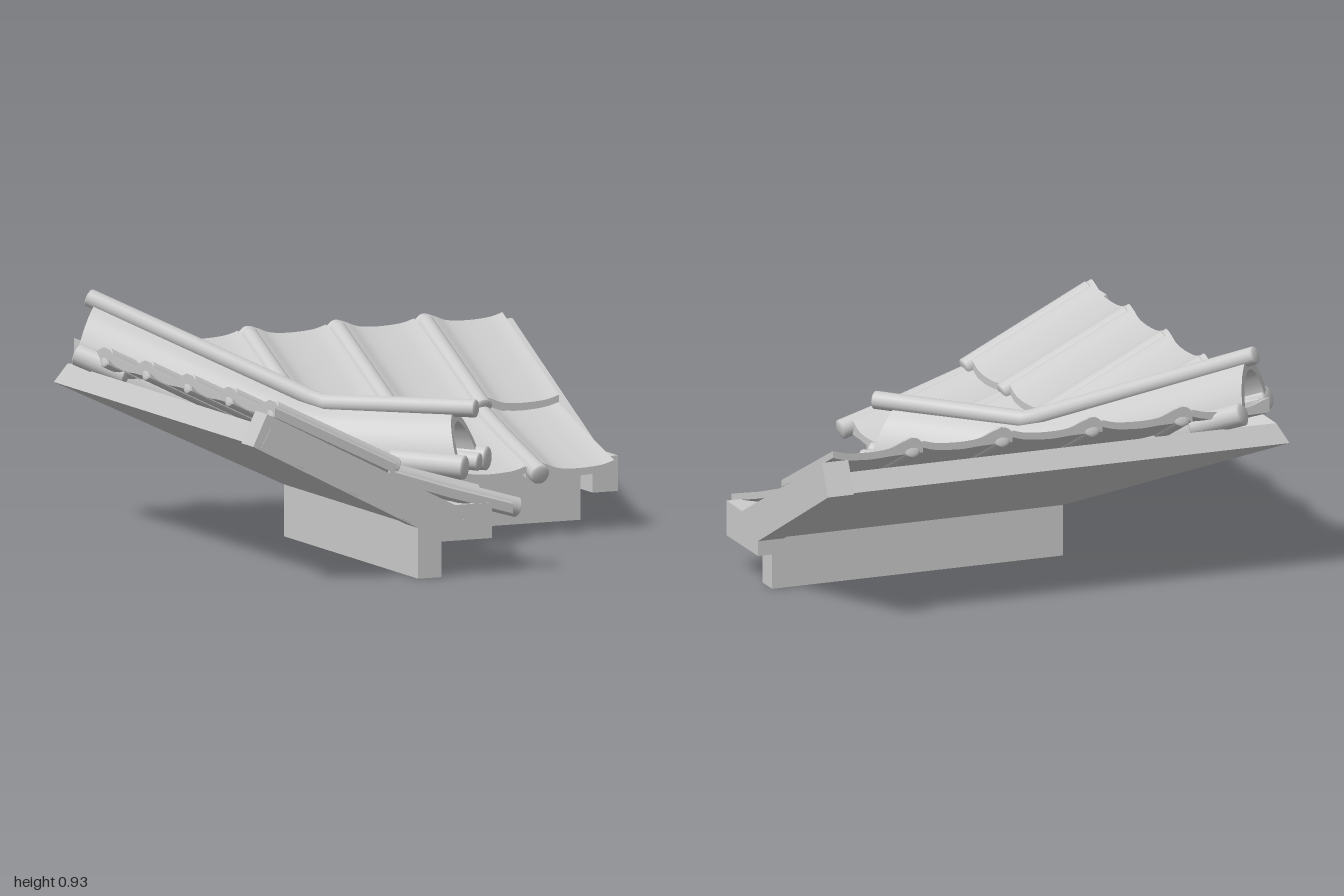
import * as THREE from 'three';
import { toCreasedNormals } from 'three/addons/utils/BufferGeometryUtils.js';

const material = new THREE.MeshStandardMaterial({ color: 0xcccccc, side: THREE.DoubleSide });
const V2 = (x, y) => new THREE.Vector2(x, y);
const V3 = (x, y, z) => new THREE.Vector3(x, y, z);
const outline = pts => new THREE.Shape(pts.map(a => V2(...a)));

// The two roof wings. p runs down the slope, u along the eave;
// dir is the way a tile runs away from its roll, miter the inner corner line.
const wings = [
  { name: 'back', at: (p, y, u) => [u, y, p + 0.03], miter: p => p,
    wallEnd: 0.94, board: [0.89, 1.0], first: 0.56, dir: 1 },
  { name: 'side', at: (p, y, u) => [p, y, u], miter: p => p + 0.03,
    wallEnd: 0.97, board: [0.86, 0.968], first: 0.965, dir: -1 },
];

// Piecewise linear height along a list of [p, y] points
function heightAt(pts, p) {
  let i = 0;
  while (i < pts.length - 2 && p > pts[i + 1][0]) i++;
  const [a, b] = [pts[i], pts[i + 1]];
  return a[1] + (b[1] - a[1]) * (p - a[0]) / (b[0] - a[0]);
}

// Extrudes a shape to depth 1, moves each vertex by a rule and keeps faces outward
function sweep(name, shape, steps, rule, crease = 0.6) {
  const geo = new THREE.ExtrudeGeometry(shape, { depth: 1, steps, bevelEnabled: false, curveSegments: 18 });
  const pos = geo.attributes.position;
  for (let i = 0; i < pos.count; i++) pos.setXYZ(i, ...rule(pos.getX(i), pos.getY(i), pos.getZ(i)));
  const corner = i => new THREE.Vector3().fromBufferAttribute(pos, i);
  let volume = 0;
  for (let i = 0; i < pos.count; i += 3) volume += corner(i).dot(corner(i + 1).cross(corner(i + 2)));
  if (volume < 0) {
    for (let i = 0; i < pos.count; i += 3) {
      const b = corner(i + 1), c = corner(i + 2);
      pos.setXYZ(i + 1, c.x, c.y, c.z);
      pos.setXYZ(i + 2, b.x, b.y, b.z);
    }
  }
  geo.deleteAttribute('uv');
  geo.deleteAttribute('normal');
  const mesh = new THREE.Mesh(toCreasedNormals(geo, crease), material);
  mesh.name = name;
  return mesh;
}

// Round bar through a list of points, closed at both ends
function pipe(name, points, radius) {
  const group = new THREE.Group();
  group.name = name;
  const path = new THREE.CurvePath();
  for (let i = 1; i < points.length; i++) path.add(new THREE.LineCurve3(points[i - 1], points[i]));
  group.add(new THREE.Mesh(new THREE.TubeGeometry(path, 24, radius, 14, false), material));
  [points[0], points[points.length - 1]].forEach((end, i) => {
    const cap = new THREE.Mesh(new THREE.SphereGeometry(radius, 14, 8), material);
    const next = i ? points[points.length - 2] : points[1];
    cap.quaternion.setFromUnitVectors(V3(0, 0, 1), end.clone().sub(next).normalize());
    cap.scale.z = 0.3;
    cap.position.copy(end);
    group.add(cap);
  });
  return group;
}

// Tile cross-section: a roll on one side and a shallow pan
const tileWidth = 0.38;
function tileShape() {
  const s = new THREE.Shape();
  s.moveTo(0, -0.025);
  s.lineTo(0, 0.012);
  s.splineThru([V2(0.02, 0.032), V2(0.045, 0.038), V2(0.085, 0.026), V2(0.14, 0.006),
    V2(0.22, 0), V2(0.32, 0.006), V2(0.38, 0.022)]);
  s.lineTo(0.38, -0.006);
  s.splineThru([V2(0.32, -0.022), V2(0.22, -0.03), V2(0.13, -0.026), V2(0, -0.025)]);
  return s;
}

const rows = [
  { name: 'upper', from: -0.905, to: -0.385, nose: 0.015, line: [[-0.905, 0.7], [-0.385, 0.445]] },
  { name: 'lower', from: -0.41, to: 0.12, nose: 0.035, line: [[-0.41, 0.42], [-0.15, 0.335], [0.12, 0.256]] },
];

function buildWing(w) {
  const group = new THREE.Group();
  group.name = w.name + 'Wing';

  // Profiles swept from the mitred corner to the open end
  const mitred = (name, pts) => group.add(sweep(name, outline(pts), 1,
    (p, y, t) => w.at(p, y, t ? w.wallEnd : w.miter(p)), 0.2));
  mitred('wall', [[-0.29, 0], [-0.19, 0], [-0.19, 0.2], [-0.29, 0.2]]);
  mitred('eaveBeam', [[-0.29, 0.14], [-0.08, 0.14], [-0.08, 0.22], [-0.29, 0.22]]);
  mitred('roofDeck', [[-0.965, 0.56], [-0.29, 0.205], [-0.1, 0.2], [-0.1, 0.235], [-0.925, 0.635]]);

  // Gable board closing the open end
  const gable = [[-1, 0.565], [-0.29, 0.2], [-0.29, 0.14], [0.03, 0.14], [0.03, 0.28], [-0.13, 0.28], [-0.94, 0.69]];
  group.add(sweep('gableBoard', outline(gable), 1,
    (p, y, t) => w.at(p, y, w.board[t ? 1 : 0]), 0.2));

  // Two overlapping rows of tiles, cut along the miter
  for (const row of rows) {
    for (let k = 0; k < 5; k++) {
      // the back wing has one tile beyond its first, the side wing starts at its end
      const u0 = w.first - k * tileWidth;
      const uMax = w.dir > 0 ? u0 + tileWidth : u0;
      if (uMax <= w.miter(row.from) + 0.05) continue;
      group.add(sweep(row.name + 'Tile', tileShape(), 8, (c, h, t) => {
        const p = row.from + t * (row.to - row.from);
        return w.at(p, heightAt(row.line, p) + h, Math.max(u0 + w.dir * c, w.miter(p)));
      }));
      // Round roll along the edge, poking out below the tile
      const uRoll = u0 + w.dir * 0.043;
      const end = Math.min(row.to + row.nose, uRoll - w.miter(0));
      if (end < row.from + 0.05) continue;
      const stops = [row.from + 0.012, (row.from + end) / 2, end];
      group.add(pipe('tileRoll', stops.map(p =>
        V3(...w.at(p, heightAt(row.line, p) + 0.002, uRoll))), 0.04));
    }
  }
  return group;
}

// Ridge stack lying over the inner corner; s is the sideways offset
function buildRidge() {
  const group = new THREE.Group();
  group.name = 'ridge';
  const at = (p, y, s = 0) => [p + s * 0.707, y, p + 0.03 - s * 0.707];
  const bar = (name, pts, s, r) => group.add(pipe(name, pts.map(a => V3(...at(a[0], a[1], s))), r));

  // Hollow body with rounded sides, open underneath
  const shape = new THREE.Shape();
  shape.moveTo(-0.105, 0);
  shape.lineTo(-0.13, 0);
  shape.splineThru([V2(-0.128, 0.25), V2(-0.108, 0.55), V2(-0.075, 0.82), V2(-0.035, 1)]);
  shape.lineTo(0.035, 1);
  shape.splineThru([V2(0.075, 0.82), V2(0.108, 0.55), V2(0.128, 0.25), V2(0.13, 0)]);
  shape.lineTo(0.105, 0);
  shape.splineThru([V2(0.1, 0.25), V2(0.085, 0.5), V2(0.05, 0.75), V2(0, 0.86), V2(-0.05, 0.75),
    V2(-0.085, 0.5), V2(-0.1, 0.25), V2(-0.105, 0)]);
  const low = [[-0.87, 0.65], [-0.3, 0.36], [0.27, 0.3]];
  const high = [[-0.84, 0.87], [-0.19, 0.515], [0.22, 0.52]];
  group.add(sweep('ridgeBody', shape, 14, (s, h, t) => {
    const a = -0.87 + 0.03 * h, b = 0.26 - 0.05 * h, p = a + t * (b - a);
    const y0 = heightAt(low, p), y1 = heightAt(high, p);
    return at(p, y0 + h * (y1 - y0), s);
  }));

  // Cap roll, short side rolls at both ends and the small centre roll at the foot
  bar('capRoll', [[-0.86, 0.9], [-0.18, 0.533], [0.27, 0.545]], 0, 0.036);
  for (const s of [-0.13, 0.13]) {
    bar('upperSideRoll', [[-0.86, 0.695], [-0.72, 0.625]], s, 0.046);
    bar('footSideRoll', [[0.06, 0.34], [0.27, 0.33]], s, 0.048);
  }
  bar('centreRoll', [[0.1, 0.35], [0.28, 0.335]], 0, 0.036);
  return group;
}

export function createModel() {
  const model = new THREE.Group();
  model.name = 'cornerRoof';
  wings.forEach(w => model.add(buildWing(w)));
  model.add(buildRidge());
  return model;
}
